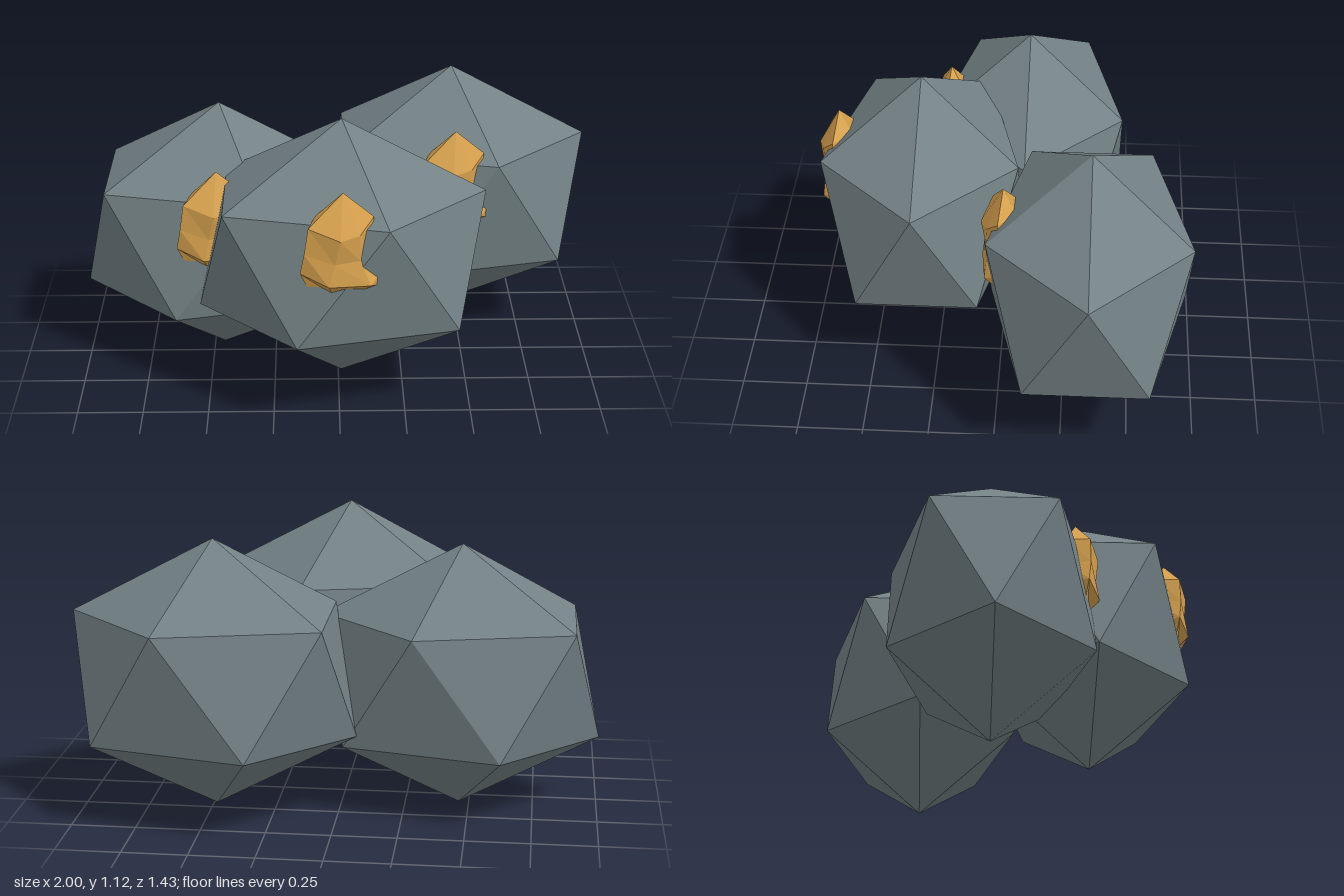
import * as THREE from 'three';

// Closed faceted solid: top point, rings running from +x towards +z, bottom point
function loft(top, rings, bottom) {
  const pos = [];
  const tri = (a, b, c) => pos.push(...a, ...b, ...c);
  const n = rings[0].length;
  for (let i = 0; i < n; i++) {
    const j = (i + 1) % n;
    const first = rings[0], last = rings[rings.length - 1];
    tri(top, first[j], first[i]);
    for (let k = 0; k < rings.length - 1; k++) {
      const u = rings[k], l = rings[k + 1];
      tri(u[i], u[j], l[i]);
      tri(u[j], l[j], l[i]);
    }
    tri(bottom, last[i], last[j]);
  }
  const geo = new THREE.BufferGeometry();
  geo.setAttribute('position', new THREE.Float32BufferAttribute(pos, 3));
  geo.computeVertexNormals();
  return geo;
}

// Five-sided ring of a stretched icosahedron
function rockRing(y, turn) {
  return Array.from({ length: 5 }, (_, i) => {
    const a = turn + (i * Math.PI * 2) / 5;
    return [0.54 * Math.cos(a), y, 0.396 * Math.sin(a)];
  });
}

export function createModel() {
  const stone = new THREE.MeshStandardMaterial({ color: 0x748286, flatShading: true });
  stone.name = 'greyStone';
  const gold = new THREE.MeshStandardMaterial({ color: 0xd9a34f, flatShading: true });
  gold.name = 'goldOre';

  const rockGeo = loft([0, 0.522, 0], [rockRing(0.234, 0), rockRing(-0.234, Math.PI / 5)], [0, -0.522, 0]);

  // Lumpy nugget with a pinched waist
  const nuggetGeo = loft([0.01, 0.19, -0.015], [
    [[0.12, 0.105, 0], [0.07, 0.05, 0.045], [0, 0.036, 0.068], [-0.115, 0.07, 0.03], [-0.09, 0.08, -0.06], [0.035, 0.09, -0.068]],
    [[0.108, -0.025, 0], [0.07, -0.05, 0.04], [-0.02, -0.06, 0.056], [-0.13, -0.03, 0.03], [-0.1, -0.03, -0.06], [0.035, -0.03, -0.068]],
    [[0.15, -0.11, 0], [0.11, -0.145, 0.05], [-0.04, -0.145, 0.066], [-0.145, -0.11, 0.02], [-0.1, -0.11, -0.06], [0.04, -0.11, -0.06]],
    [[0.142, -0.163, 0], [0.09, -0.172, 0.02], [-0.03, -0.19, 0.022], [-0.12, -0.165, 0.01], [-0.08, -0.16, -0.05], [0.04, -0.17, -0.05]],
  ], [0, -0.185, -0.01]);

  const model = new THREE.Group();
  model.name = 'oreRocks';
  const places = [
    ['frontRock', 0.01, 0.608, 0.315],
    ['rightRock', -0.46, 0.527, -0.08],
    ['leftRock', 0.46, 0.582, -0.34],
  ];
  for (const [name, x, y, z] of places) {
    const group = new THREE.Group();
    group.name = name;
    group.position.set(x, y, z);
    const rock = new THREE.Mesh(rockGeo, stone);
    rock.name = 'boulder';
    const nugget = new THREE.Mesh(nuggetGeo, gold);
    nugget.name = 'nugget';
    nugget.position.set(-0.01, 0.173, 0.335);
    group.add(rock, nugget);
    model.add(group);
  }
  return model;
}
